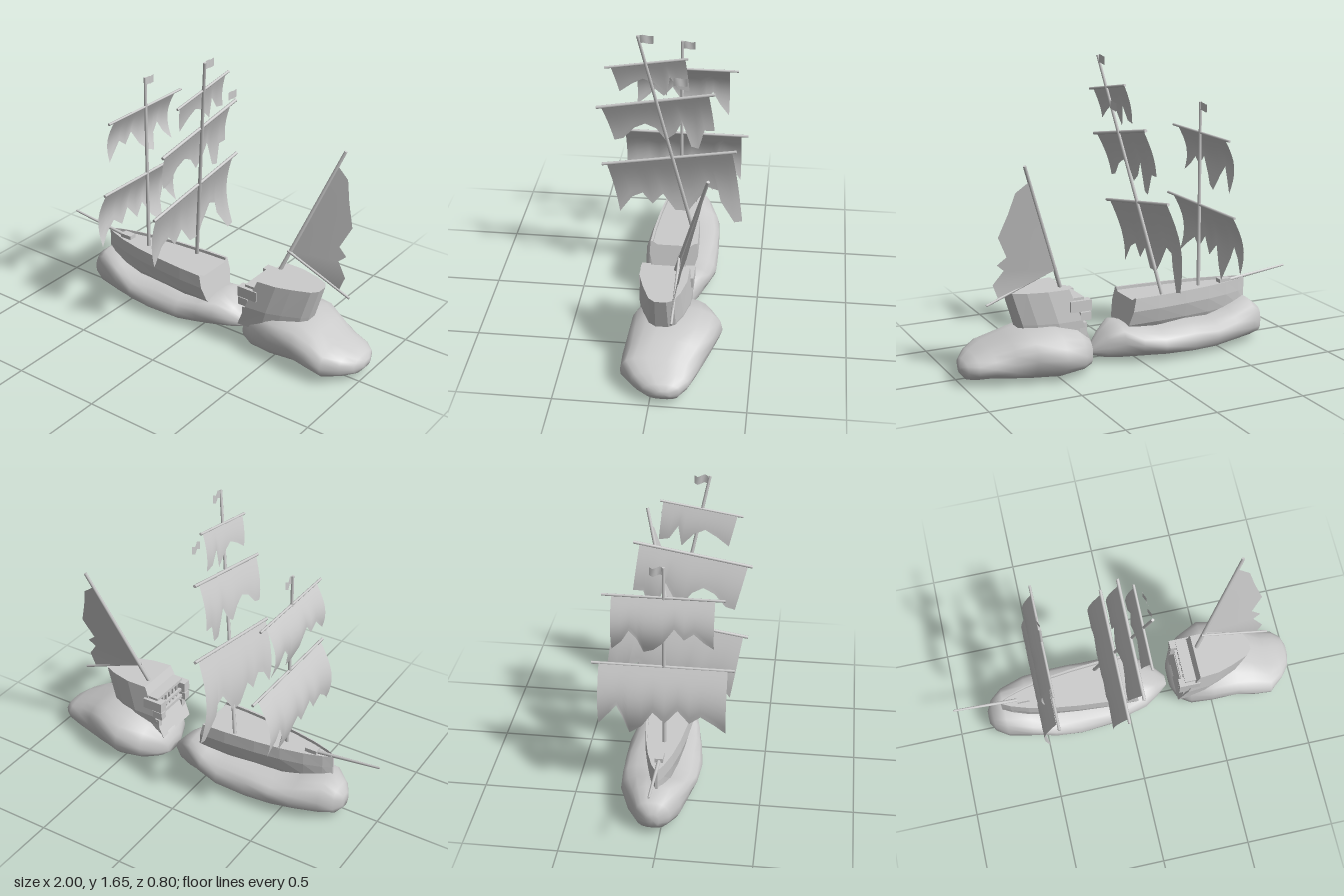
import * as THREE from 'three';

const V = (x, y, z) => new THREE.Vector3(x, y, z);
const smooth = new THREE.MeshStandardMaterial({ color: 0xcccccc });
const flat = new THREE.MeshStandardMaterial({ color: 0xcccccc, flatShading: true });
const cloth = new THREE.MeshStandardMaterial({ color: 0xcccccc, side: THREE.DoubleSide });

function mesh(parent, name, geometry, material = flat) {
  const m = new THREE.Mesh(geometry, material);
  m.name = name;
  parent.add(m);
  return m;
}

function surface(points, index) {
  const g = new THREE.BufferGeometry().setFromPoints(points);
  g.setIndex(index);
  g.computeVertexNormals();
  return g;
}

// Skin over closed rings of equal length, with a fan cap at both ends
function loft(rings) {
  const n = rings[0].length, last = (rings.length - 1) * n;
  const points = rings.flat(), index = [];
  for (let i = 0; i < rings.length - 1; i++) {
    for (let j = 0; j < n; j++) {
      const a = i * n + j, b = i * n + (j + 1) % n;
      index.push(a, a + n, b, b, a + n, b + n);
    }
  }
  const centre = ring => ring.reduce((s, p) => s.add(p), V(0, 0, 0)).divideScalar(n);
  const c0 = points.length, c1 = c0 + 1;
  points.push(centre(rings[0]), centre(rings[rings.length - 1]));
  for (let j = 0; j < n; j++) {
    const k = (j + 1) % n;
    index.push(c0, j, k, c1, last + k, last + j);
  }
  return surface(points, index);
}

// Round pole between two points
function spar(parent, name, a, b, r0, r1 = r0) {
  const d = b.clone().sub(a);
  const m = mesh(parent, name, new THREE.CylinderGeometry(r1, r0, d.length(), 8), smooth);
  m.position.copy(a).add(b).multiplyScalar(0.5);
  m.quaternion.setFromUnitVectors(V(0, 1, 0), d.normalize());
}

function box(parent, name, w, h, d, x, y, z) {
  const m = mesh(parent, name, new THREE.BoxGeometry(w, h, d));
  m.position.set(x, y, z);
  return m;
}

// Boulder from stations along x: [x, zBack, zFront, yBottom, yTop]
function rock(parent, name, stations) {
  const pow = (v, e) => Math.sign(v) * Math.abs(v) ** e;
  const n = 18;
  const rings = stations.map(([x, z0, z1, y0, y1], i) => Array.from({ length: n }, (_, j) => {
    const a = j / n * Math.PI * 2;
    const bump = 1 + 0.035 * Math.sin(3 * a + i * 1.7);
    return V(x, (y0 + y1) / 2 + (y1 - y0) / 2 * pow(Math.sin(a), 0.85),
      (z0 + z1) / 2 + (z1 - z0) / 2 * pow(Math.cos(a), 0.75) * bump);
  }));
  mesh(parent, name, loft(rings), smooth);
}

// Torn square sail hung from a yard; hem is a ragged list of [z, y]
function sail(parent, name, a, b, hem, lean, bulge) {
  const rows = 8, n = hem.length, points = [], index = [];
  const z0 = hem[0][0], span = hem[n - 1][0] - z0;
  const height = Math.max(a.y, b.y) - Math.min(...hem.map(p => p[1]));
  hem.forEach(([z, y], i) => {
    const top = a.clone().lerp(b, (z - z0) / span);
    for (let j = 0; j <= rows; j++) {
      const p = top.clone().lerp(V(top.x, y, z), j / rows);
      const drop = top.y - p.y;
      p.x -= lean * drop + bulge * Math.sin(Math.PI * Math.min(1, drop / height));
      points.push(p);
      if (i < n - 1 && j < rows) {
        const k = i * (rows + 1) + j, m = k + rows + 1;
        index.push(k, k + 1, m, m, k + 1, m + 1);
      }
    }
  });
  mesh(parent, name, surface(points, index), cloth);
}

// Small waving pennant running towards the back
function flag(parent, name, x, y, z) {
  const points = [], index = [];
  for (let i = 0; i < 5; i++) {
    const w = 0.006 * Math.sin(i * 1.6);
    points.push(V(x + w, y - 0.022 + w, z - i * 0.018), V(x + w, y + 0.022 + w, z - i * 0.018));
    if (i < 4) index.push(2 * i, 2 * i + 2, 2 * i + 1, 2 * i + 1, 2 * i + 2, 2 * i + 3);
  }
  mesh(parent, name, surface(points, index), cloth);
}

export function createModel() {
  const model = new THREE.Group();
  const group = name => {
    const g = new THREE.Group();
    g.name = name;
    model.add(g);
    return g;
  };

  // Two boulders carrying the broken ship
  rock(model, 'frontRock', [[-0.82, -0.07, 0, 0.06, 0.14], [-0.79, -0.13, 0.05, 0.03, 0.19],
    [-0.72, -0.18, 0.1, 0.02, 0.245], [-0.58, -0.23, 0.135, 0.015, 0.21], [-0.45, -0.25, 0.155, 0.005, 0.18],
    [-0.3, -0.26, 0.165, 0.005, 0.19], [-0.12, -0.25, 0.155, 0.01, 0.175], [0, -0.225, 0.13, 0.015, 0.19],
    [0.1, -0.2, 0.1, 0.02, 0.215], [0.18, -0.15, 0.04, 0.025, 0.16], [0.25, -0.08, -0.02, 0.04, 0.08]]);
  rock(model, 'rearRock', [[0.27, -0.14, 0.0, 0.03, 0.11], [0.3, -0.21, 0.08, 0.015, 0.18],
    [0.37, -0.28, 0.13, 0.005, 0.235], [0.5, -0.33, 0.155, 0.0, 0.27], [0.65, -0.3, 0.15, 0.01, 0.265],
    [0.75, -0.26, 0.16, 0.015, 0.23], [0.85, -0.22, 0.17, 0.02, 0.19], [0.93, -0.195, 0.1, 0.025, 0.16],
    [0.98, -0.16, 0.03, 0.035, 0.13], [1.0, -0.11, -0.04, 0.06, 0.1]]);

  // Bow half of the hull: [x at rail, half beam, keel height], with a sunken deck
  const bow = group('bowHalf');
  const cz = -0.025;
  const ribs = [[-0.73, 0.006, 0.18], [-0.68, 0.032, 0.15], [-0.58, 0.065, 0.13], [-0.45, 0.093, 0.12],
    [-0.3, 0.113, 0.12], [-0.12, 0.128, 0.12], [0.02, 0.132, 0.13]];
  mesh(bow, 'bowHull', loft(ribs.map(([x, w, k], i) => {
    const rake = i === ribs.length - 1 ? 0.05 : 0;
    const at = (f, y) => V(x + rake * (0.35 - y) / 0.22, y, cz + f * w);
    const half = [[1, 0.352], [1.03, 0.28], [0.85, 0.2], [0.45, k]];
    const side = s => half.map(([f, y]) => at(s * f, y));
    return [...side(-1), ...side(1).reverse(), at(0.9, 0.352), at(0.9, 0.335), at(-0.9, 0.335), at(-0.9, 0.352)];
  })));
  box(bow, 'foredeckBlock', 0.07, 0.03, 0.045, -0.6, 0.343, cz);
  spar(bow, 'bowsprit', V(-0.57, 0.335, cz), V(-1, 0.385, cz), 0.011, 0.006);

  // Upright foremast with two torn sails
  const fore = group('foremastRig');
  spar(fore, 'foremast', V(-0.44, 0.3, -0.02), V(-0.44, 1.375, -0.02), 0.011, 0.008);
  spar(fore, 'foreLowerYard', V(-0.44, 0.8, -0.4), V(-0.44, 0.8, 0.345), 0.008);
  spar(fore, 'foreUpperYard', V(-0.44, 1.205, -0.335), V(-0.44, 1.205, 0.29), 0.007);
  sail(fore, 'foreLowerSail', V(-0.45, 0.8, 0.31), V(-0.45, 0.8, -0.36),
    [[0.31, 0.45], [0.25, 0.51], [0.18, 0.56], [0.12, 0.51], [0.06, 0.59], [-0.01, 0.5], [-0.07, 0.57],
      [-0.13, 0.47], [-0.2, 0.405], [-0.23, 0.53], [-0.26, 0.6], [-0.3, 0.55], [-0.36, 0.47]], 0.08, 0.06);
  sail(fore, 'foreUpperSail', V(-0.445, 1.2, 0.24), V(-0.445, 1.2, -0.285),
    [[0.24, 0.95], [0.19, 0.99], [0.14, 1.04], [0.09, 1.0], [0.04, 1.06], [-0.02, 0.97], [-0.07, 0.92],
      [-0.12, 0.9], [-0.15, 0.99], [-0.19, 1.04], [-0.23, 0.97], [-0.285, 0.91]], 0.08, 0.045);
  flag(fore, 'foreFlag', -0.44, 1.35, -0.02);

  // Leaning mainmast with three torn sails
  const main = group('mainmastRig');
  spar(main, 'mainmast', V(-0.165, 0.32, -0.115), V(0.097, 1.64, 0.155), 0.011, 0.008);
  spar(main, 'mainLowerYard', V(-0.065, 0.785, 0.385), V(-0.065, 0.905, -0.355), 0.009);
  spar(main, 'mainMiddleYard', V(0.008, 1.172, 0.395), V(0.008, 1.282, -0.24), 0.009);
  spar(main, 'mainUpperYard', V(0.06, 1.435, 0.335), V(0.06, 1.505, -0.1), 0.007);
  sail(main, 'mainLowerSail', V(-0.07, 0.79, 0.36), V(-0.07, 0.9, -0.33),
    [[0.3, 0.44], [0.23, 0.54], [0.17, 0.57], [0.115, 0.5], [0.055, 0.57], [-0.015, 0.47], [-0.09, 0.47],
      [-0.13, 0.53], [-0.2, 0.63], [-0.255, 0.61], [-0.27, 0.54], [-0.35, 0.42], [-0.395, 0.43]], 0.1, 0.045);
  sail(main, 'mainMiddleSail', V(0.003, 1.175, 0.37), V(0.003, 1.275, -0.205),
    [[0.31, 0.945], [0.26, 0.96], [0.2, 1.03], [0.14, 1.06], [0.08, 1.03], [0.03, 0.96], [-0.02, 1.0],
      [-0.06, 1.08], [-0.11, 0.93], [-0.15, 0.92], [-0.18, 1.03], [-0.235, 1.03]], 0.15, 0.03);
  sail(main, 'mainUpperSail', V(0.055, 1.44, 0.305), V(0.055, 1.5, -0.085),
    [[0.265, 1.28], [0.2, 1.33], [0.14, 1.365], [0.08, 1.34], [0.015, 1.27], [-0.002, 1.38],
      [-0.05, 1.31], [-0.105, 1.3]], 0.15, 0.015);
  flag(main, 'mainFlag', 0.093, 1.62, 0.145);
  flag(main, 'looseFlag', 0.11, 1.395, -0.03);

  // Stern half of the hull, leaning, rounded where it broke off
  const stern = group('sternHalf');
  const plan = [[0.41, -0.15], [0.53, -0.15], [0.64, -0.125], [0.71, -0.095], [0.73, -0.06], [0.73, 0.0],
    [0.7, 0.035], [0.6, 0.075], [0.52, 0.1], [0.41, 0.11]];
  const level = (y, f) => plan.map(([x, z]) => {
    const cut = x < 0.45 ? (0.455 - y) * 0.1 : 0;
    return V(x - (0.455 - y) * 0.3 - cut, y, cz + (z - cz) * f);
  });
  mesh(stern, 'sternHull', loft([level(0.15, 1.04), level(0.28, 1.1), level(0.455, 1)]));

  // Stern gallery: ledges, window bars and side turrets
  box(stern, 'galleryFloor', 0.11, 0.018, 0.26, 0.365, 0.3, cz);
  box(stern, 'galleryRoof', 0.1, 0.018, 0.25, 0.375, 0.395, cz);
  box(stern, 'galleryRail', 0.016, 0.016, 0.25, 0.32, 0.345, cz);
  for (let i = 0; i < 7; i++) box(stern, 'galleryPost', 0.012, 0.09, 0.012, 0.33, 0.345, cz - 0.105 + i * 0.035);
  for (const s of [-1, 1]) {
    box(stern, 'sideTurret', 0.12, 0.06, 0.05, 0.35, 0.36, cz + s * 0.12);
    box(stern, 'turretFoot', 0.06, 0.045, 0.04, 0.32, 0.3, cz + s * 0.12);
    box(stern, 'turretBracket', 0.04, 0.07, 0.03, 0.335, 0.23, cz + s * 0.12);
  }

  // Tilted mizzenmast, boom and torn triangular sail
  const mizzen = group('mizzenRig');
  spar(mizzen, 'mizzenmast', V(0.39, 0.34, -0.05), V(0.695, 1.16, -0.262), 0.012, 0.009);
  spar(mizzen, 'boom', V(0.46, 0.568, -0.1), V(0.855, 0.412, -0.1), 0.007);
  const outline = [[0.475, 0.56], [0.79, 0.44], [0.82, 0.52], [0.765, 0.595], [0.805, 0.63], [0.755, 0.67],
    [0.81, 0.785], [0.765, 0.91], [0.735, 1.02], [0.67, 1.07]];
  const shape = new THREE.Shape(outline.map(([x, y]) => new THREE.Vector2(x, y)));
  const sheet = new THREE.ShapeGeometry(shape);
  const p = sheet.attributes.position;
  for (let i = 0; i < p.count; i++) p.setZ(i, -0.1 - Math.max(0, p.getY(i) - 0.5) * 0.25);
  sheet.computeVertexNormals();
  mesh(mizzen, 'mizzenSail', sheet, cloth);

  return model;
}
